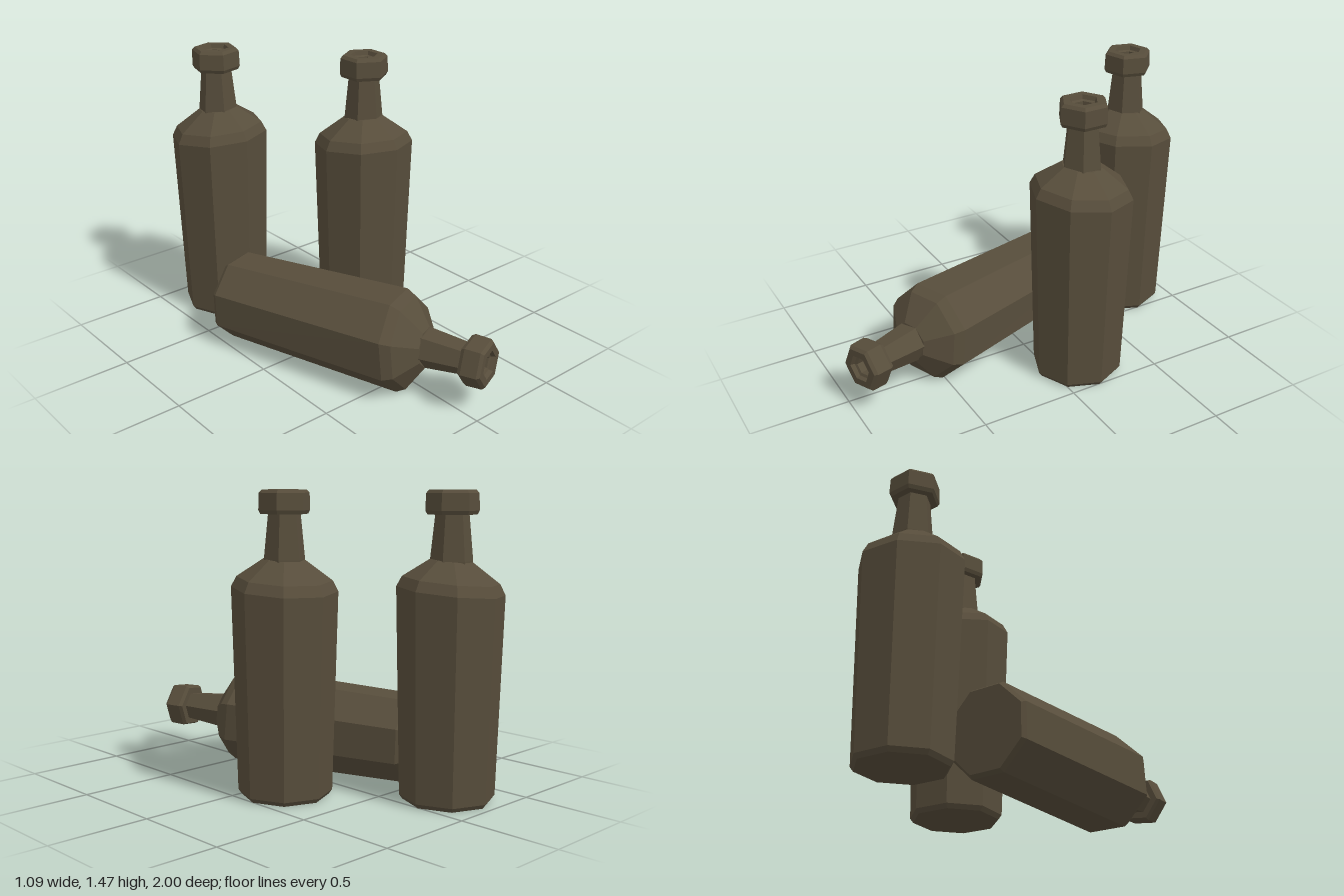
import * as THREE from 'three';

const deg = Math.PI / 180;

// [radius, height] profiles, from the bottom up
const BODY = [[0, 0], [0.212, 0], [0.228, 0.022], [0.254, 1.0], [0.228, 1.05], [0.1, 1.14], [0, 1.14]];
const NECK = [[0.1, 1.12], [0.1, 1.14], [0.078, 1.36]];
const LIP = [[0.06, 1.352], [0.115, 1.352], [0.125, 1.37], [0.122, 1.45], [0.108, 1.465],
  [0.07, 1.465], [0.062, 1.445], [0.047, 1.44], [0.045, 1.40], [0, 1.40]];

function lathe(profile, sides) {
  return new THREE.LatheGeometry(profile.map(([r, y]) => new THREE.Vector2(r, y)), sides);
}

// Eight-sided body whose shoulder leans slightly to one side
function bodyGeometry() {
  const geo = lathe(BODY, 8);
  const pos = geo.attributes.position;
  const lean = 78 * deg;
  for (let i = 0; i < pos.count; i++) {
    if (pos.getY(i) < 0.9) continue;
    const along = pos.getX(i) * Math.cos(lean) - pos.getZ(i) * Math.sin(lean);
    pos.setY(i, pos.getY(i) - along * 0.085);
  }
  geo.computeVertexNormals();
  return geo;
}

export function createModel() {
  const model = new THREE.Group();
  model.name = 'bottles';

  const glass = new THREE.MeshStandardMaterial({ color: 0x574d3b, flatShading: true });
  glass.name = 'dark olive glass';

  const parts = { body: bodyGeometry(), neck: lathe(NECK, 6), lip: lathe(LIP, 6) };

  function bottle(name, turn) {
    const group = new THREE.Group();
    group.name = name;
    const spin = new THREE.Group();
    spin.name = name + 'Turn';
    spin.rotation.y = turn * deg;
    for (const [part, geo] of Object.entries(parts)) {
      const mesh = new THREE.Mesh(geo, glass);
      mesh.name = part;
      spin.add(mesh);
    }
    group.add(spin);
    model.add(group);
    return group;
  }

  // Two standing bottles
  bottle('rightStandingBottle', 1).position.set(0.29, 0, -0.15);
  bottle('backStandingBottle', 45).position.set(-0.208, 0, -0.748);

  // Fallen bottle, resting on one of its flat sides
  const fallen = bottle('fallenBottle', -22.5);
  fallen.rotation.order = 'YXZ';
  fallen.rotation.set(Math.PI / 2 - 0.0246, 18.2 * deg, 0);
  fallen.position.set(-0.355, 0.211, -0.425);

  return model;
}
